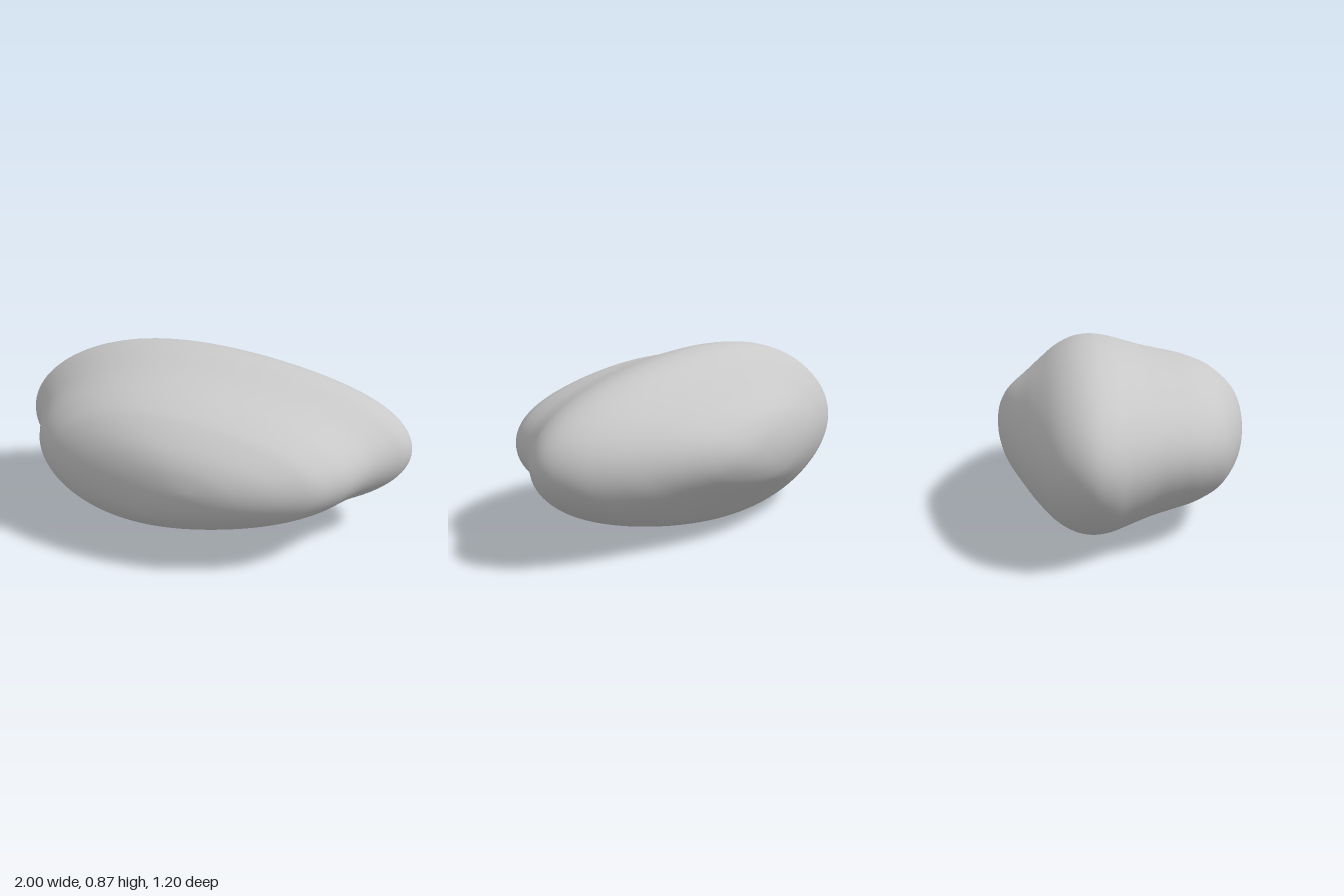
import * as THREE from 'three';
import { mergeVertices } from 'three/addons/utils/BufferGeometryUtils.js';

const stone = new THREE.MeshStandardMaterial({ name: 'stone grey', color: 0xc8c8c8 });

// Half width, half height and z of the cross-sections, back to front
const SECTIONS = [
  [0, 0, -0.6], [0.165, 0.075, -0.59], [0.315, 0.143, -0.56], [0.45, 0.192, -0.52],
  [0.62, 0.247, -0.46], [0.77, 0.303, -0.4], [0.905, 0.374, -0.32], [0.975, 0.419, -0.24],
  [1, 0.436, -0.16], [0.978, 0.43, -0.08], [0.92, 0.41, 0], [0.853, 0.381, 0.1],
  [0.803, 0.358, 0.2], [0.75, 0.335, 0.3], [0.668, 0.297, 0.4], [0.583, 0.258, 0.46],
  [0.455, 0.203, 0.52], [0.325, 0.15, 0.56], [0.185, 0.086, 0.587], [0, 0, 0.6],
];

function blobGeometry(rings, sides) {
  // Mirrored end points keep both tips round
  const mirror = ([w, h, z]) => [-w, -h, z];
  const all = [mirror(SECTIONS[1]), ...SECTIONS, mirror(SECTIONS[SECTIONS.length - 2])];
  const curve = new THREE.CatmullRomCurve3(
    all.map((p) => new THREE.Vector3(...p)), false, 'catmullrom', 0.5);
  const spans = all.length - 1;

  const positions = [];
  const index = [];
  for (let i = 0; i <= rings; i++) {
    const s = curve.getPoint((1 + (i / rings) * (spans - 2)) / spans);
    const shift = 0.08 * Math.abs(s.z / 0.6) ** 8; // tips drift to +x
    for (let j = 0; j < sides; j++) {
      const t = (j / sides) * Math.PI * 2;
      const c = Math.cos(t);
      const egg = (1 - 0.2 * c + 0.12 * c ** 3) / 1.018; // fuller on the -x side
      positions.push(s.x * c + shift, s.y * Math.sin(t) * egg + 0.436, s.z);
      if (i === rings) continue;
      const a = i * sides + j;
      const b = i * sides + ((j + 1) % sides);
      index.push(a, b, a + sides, b, b + sides, a + sides);
    }
  }
  const geometry = new THREE.BufferGeometry();
  geometry.setAttribute('position', new THREE.Float32BufferAttribute(positions, 3));
  geometry.setIndex(index);
  const merged = mergeVertices(geometry, 1e-5);
  merged.computeVertexNormals();
  return merged;
}

export function createModel() {
  const group = new THREE.Group();
  group.name = 'pebble';
  const body = new THREE.Mesh(blobGeometry(114, 128), stone);
  body.name = 'body';
  group.add(body);
  return group;
}
